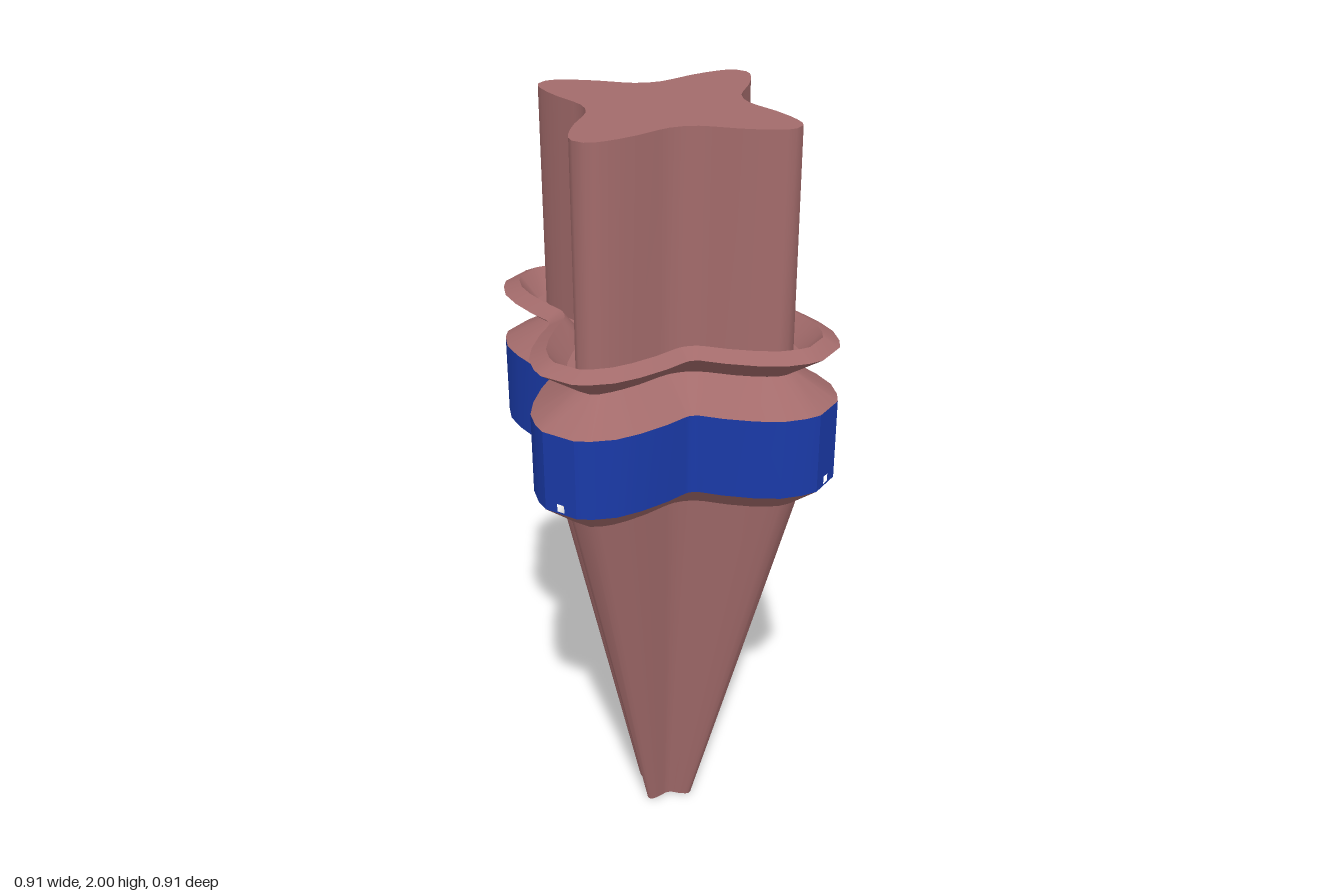
import * as THREE from 'three';

// Half a lobe, tip to inner corner, as [x, z]: slim (shaft) and wide (band) outlines
const SLIM = [[.015, .348], [.033, .335], [.048, .314], [.063, .287], [.082, .243], [.1, .184], [.111, .157], [.131, .131]];
const WIDE = [[.044, .457], [.078, .438], [.12, .4], [.152, .345], [.18, .275], [.195, .22], [.199, .211], [.205, .205]];
const PER_QUADRANT = SLIM.length * 2 - 1;

// Closed four-lobed outline; t blends slim (0) to wide (1)
function outline(t, scale = 1) {
  const half = SLIM.map(([x, z], i) => [
    scale * THREE.MathUtils.lerp(x, WIDE[i][0], t),
    scale * THREE.MathUtils.lerp(z, WIDE[i][1], t),
  ]);
  let quadrant = [...half, ...half.slice(0, -1).reverse().map(([x, z]) => [z, x])];
  const points = [];
  for (let k = 0; k < 4; k++) {
    points.push(...quadrant);
    quadrant = quadrant.map(([x, z]) => [z, -x]);
  }
  return points;
}

// Wall between two outlines, smooth around and creased at its rims
function wall(lower, y0, upper, y1, skipTips = false) {
  const n = lower.length, positions = [], index = [];
  for (const [ring, y] of [[lower, y0], [upper, y1]]) {
    for (const [x, z] of ring) positions.push(x, y, z);
  }
  for (let i = 0; i < n; i++) {
    if (skipTips && i % PER_QUADRANT === PER_QUADRANT - 1) continue;
    const j = (i + 1) % n;
    index.push(i, j, n + j, i, n + j, n + i);
  }
  const geometry = new THREE.BufferGeometry();
  geometry.setAttribute('position', new THREE.Float32BufferAttribute(positions, 3));
  geometry.setIndex(index);
  geometry.computeVertexNormals();
  return geometry;
}

// Flat lid facing up (dir 1) or down (dir -1)
function lid(ring, y, dir) {
  const shape = new THREE.Shape(ring.map(([x, z]) => new THREE.Vector2(x, -dir * z)));
  return new THREE.ShapeGeometry(shape).rotateX(-dir * Math.PI / 2).translate(0, y, 0);
}

export function createModel() {
  const model = new THREE.Group();
  const rose = new THREE.MeshStandardMaterial({ color: 0xa36b6b });
  const blue = new THREE.MeshStandardMaterial({ color: 0x1a3aa8 });
  const add = (name, geometry, material) => {
    const mesh = new THREE.Mesh(geometry, material);
    mesh.name = name;
    model.add(mesh);
  };

  const slim = outline(0), wide = outline(1);
  const coneTop = outline(.23), foot = outline(0, .24);
  const flangeEdge = outline(.98), flangeRim = outline(.61), troughEdge = outline(.2);

  // Tapering lower body
  add('footCap', lid(foot, 0, -1), blue);
  add('cone', wall(foot, 0, coneTop, 1.07), rose);
  add('lowerFlare', wall(coneTop, 1.07, wide, 1.14), rose);

  // Band with a small hole in each lobe tip
  add('band', wall(wide, 1.14, wide, 1.345, true), blue);
  const w = WIDE[0][0];
  const rect = (hw, y0, y1) => [[-hw, y0], [hw, y0], [hw, y1], [-hw, y1]].map(p => new THREE.Vector2(...p));
  const tip = new THREE.Shape(rect(w, 1.14, 1.345));
  tip.holes.push(new THREE.Path(rect(.01, 1.145, 1.165)));
  for (let k = 0; k < 4; k++) {
    const panel = new THREE.ShapeGeometry(tip).translate(0, 0, WIDE[0][1]).rotateY(k * Math.PI / 2);
    add('bandTip', panel, blue);
  }

  // Shoulder and flange with a trough around the shaft
  add('shoulder', wall(wide, 1.345, slim, 1.41), rose);
  add('flangeUnderside', wall(slim, 1.41, flangeEdge, 1.485), rose);
  add('flangeLip', wall(flangeEdge, 1.485, flangeRim, 1.505), rose);
  add('troughSide', wall(flangeRim, 1.505, troughEdge, 1.45), rose);
  add('troughFloor', wall(troughEdge, 1.45, slim, 1.45), rose);

  // Shaft
  add('shaft', wall(slim, 1.45, slim, 2), rose);
  add('shaftCap', lid(slim, 2, 1), rose);
  return model;
}
